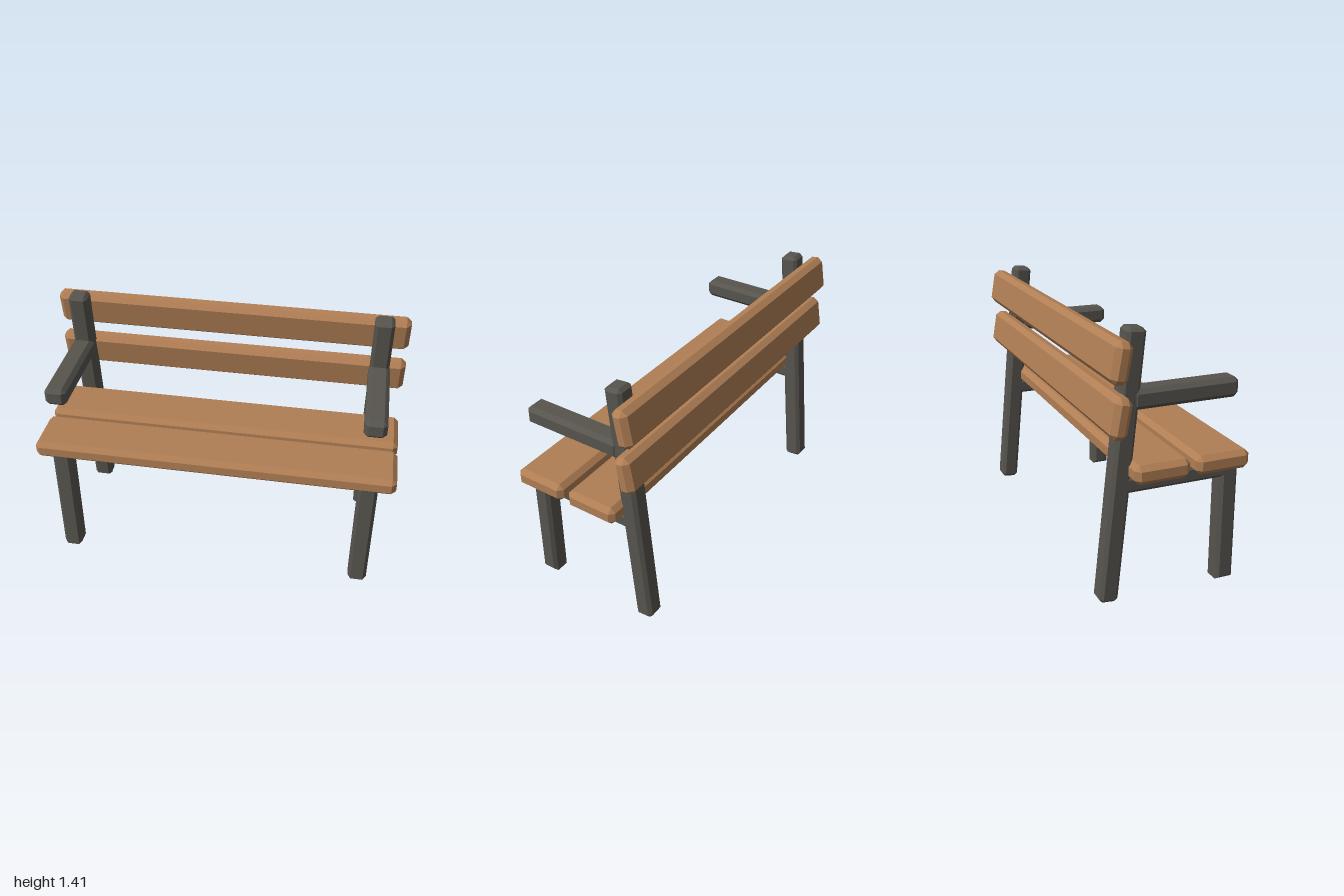
import * as THREE from 'three';
import { ConvexGeometry } from 'three/addons/geometries/ConvexGeometry.js';

// Box with flat chamfers on every edge and corner
function chamferBox(w, h, d, c) {
  const points = [];
  for (const x of [-1, 1]) for (const y of [-1, 1]) for (const z of [-1, 1]) {
    for (let axis = 0; axis < 3; axis++) {
      points.push(new THREE.Vector3(
        x * (w / 2 - (axis === 0 ? 0 : c)),
        y * (h / 2 - (axis === 1 ? 0 : c)),
        z * (d / 2 - (axis === 2 ? 0 : c))));
    }
  }
  return new ConvexGeometry(points);
}

// Front leg and seat rail in one piece, drawn in the z-y plane
function legAndRail(width, c) {
  const outline = [[0.376, 0.003], [0.376, 0.677], [-0.26, 0.677], [-0.26, 0.587], [0.276, 0.587], [0.276, 0.003]];
  const shape = new THREE.Shape(outline.map(([z, y]) => new THREE.Vector2(z, y)));
  const depth = width - 2 * c;
  const geometry = new THREE.ExtrudeGeometry(shape, {
    depth, bevelEnabled: true, bevelSegments: 1, bevelThickness: c, bevelSize: c, bevelOffset: -c,
  });
  return geometry.translate(0, 0, -depth / 2).rotateY(-Math.PI / 2);
}

export function createModel() {
  const model = new THREE.Group();
  model.name = 'bench';
  const wood = new THREE.MeshStandardMaterial({ color: 0xb07e54, flatShading: true });
  wood.name = 'wood';
  const metal = new THREE.MeshStandardMaterial({ color: 0x57544e, flatShading: true });
  metal.name = 'darkMetal';

  function add(name, geometry, material, x, y, z, tilt = 0) {
    const mesh = new THREE.Mesh(geometry, material);
    mesh.name = name;
    mesh.position.set(x, y, z);
    mesh.rotation.x = tilt;
    model.add(mesh);
  }

  // Seat planks
  const seatPlank = chamferBox(2, 0.1, 0.293, 0.026);
  add('frontSeatPlank', seatPlank, wood, 0, 0.71, 0.238);
  add('rearSeatPlank', seatPlank, wood, 0, 0.71, -0.088);

  // Back slats, leaning a little more than the posts
  const backSlat = chamferBox(2, 0.203, 0.09, 0.027);
  const slatTilt = THREE.MathUtils.degToRad(10);
  add('upperBackSlat', backSlat, wood, 0, 1.267, -0.305, slatTilt);
  add('lowerBackSlat', backSlat, wood, 0, 1.002, -0.305, slatTilt);

  // Side frames
  const frame = legAndRail(0.107, 0.018);
  const post = chamferBox(0.107, 1.405, 0.1, 0.018);
  const arm = chamferBox(0.12, 0.103, 0.57, 0.022);
  const postTilt = THREE.MathUtils.degToRad(5.65);
  for (const [side, x] of [['left', 0.853], ['right', -0.853]]) {
    add(side + 'FrontLegAndRail', frame, metal, x, 0, 0);
    add(side + 'BackPost', post, metal, x, 0.706, -0.263, postTilt);
    add(side + 'Armrest', arm, metal, x, 1.06, 0.07);
  }
  return model;
}
